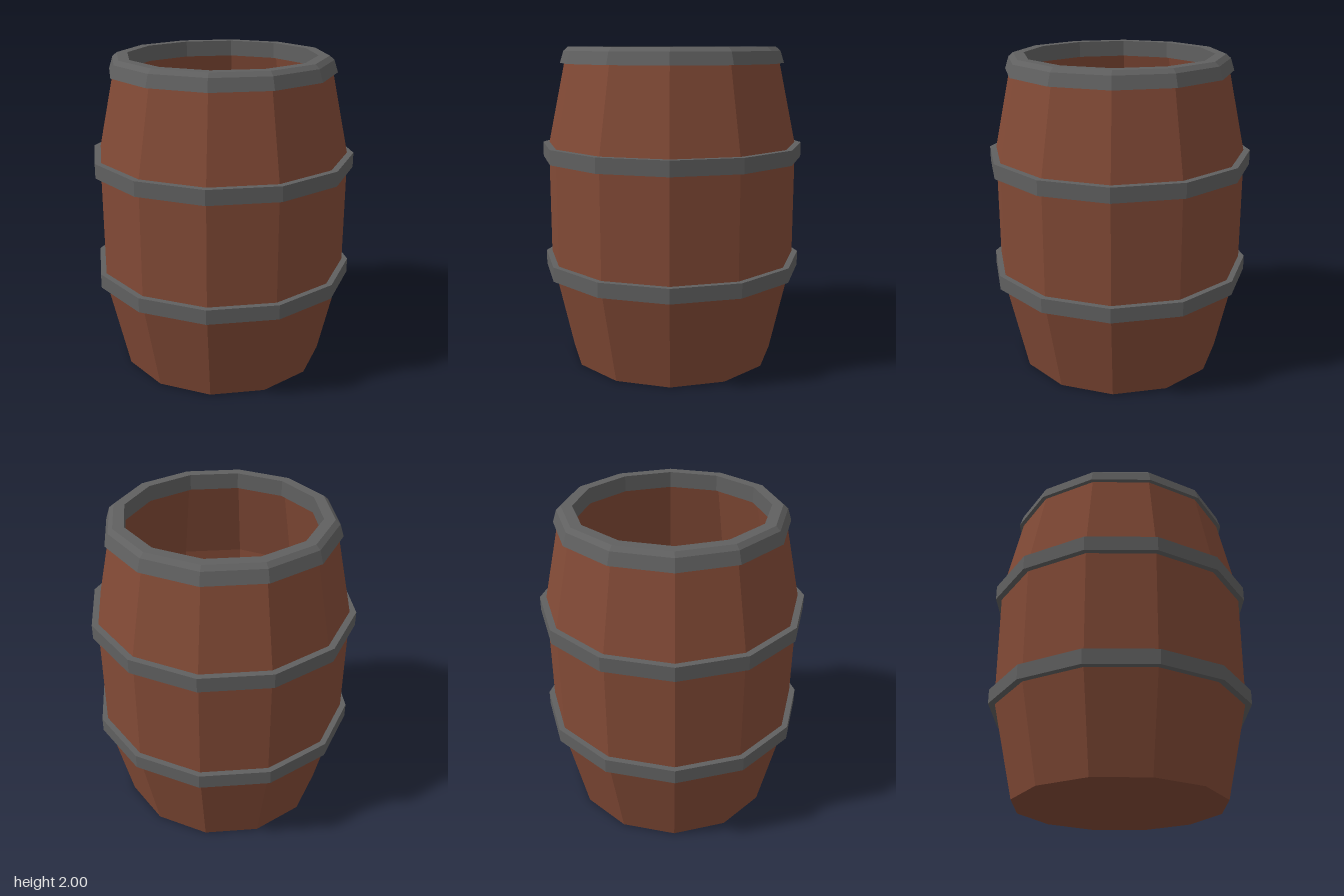
import * as THREE from 'three';

const SIDES = 12;
const wood = new THREE.MeshStandardMaterial({ color: 0x824a36, flatShading: true });
const iron = new THREE.MeshStandardMaterial({ color: 0x606060, flatShading: true });

// Faceted ring or vessel from [radius, height] pairs: up the outside, down the inside
function turned(name, profile, material) {
  const points = profile.map(([r, y]) => new THREE.Vector2(r, y));
  const mesh = new THREE.Mesh(new THREE.LatheGeometry(points, SIDES), material);
  mesh.name = name;
  return mesh;
}

export function createModel() {
  const barrel = new THREE.Group();
  barrel.name = 'barrel';

  // Hollow wooden body with a closed bottom and an inner floor
  barrel.add(turned('body', [
    [0, 0], [0.66, 0], [0.795, 0.6], [0.795, 1.38], [0.67, 1.96],
    [0.61, 1.96], [0.735, 1.38], [0.735, 0.6], [0.615, 0.05], [0, 0.05],
  ], wood));

  // Two square-edged hoops around the belly
  for (const [name, y] of [['lowerHoop', 0.58], ['upperHoop', 1.305]]) {
    const top = y + 0.092;
    barrel.add(turned(name, [
      [0.765, y], [0.832, y], [0.832, top], [0.765, top], [0.765, y],
    ], iron));
  }

  // Bevelled iron rim wrapping over the open mouth
  barrel.add(turned('rim', [
    [0.59, 1.9], [0.71, 1.9], [0.686, 1.975], [0.657, 2], [0.59, 2], [0.59, 1.9],
  ], iron));

  return barrel;
}
